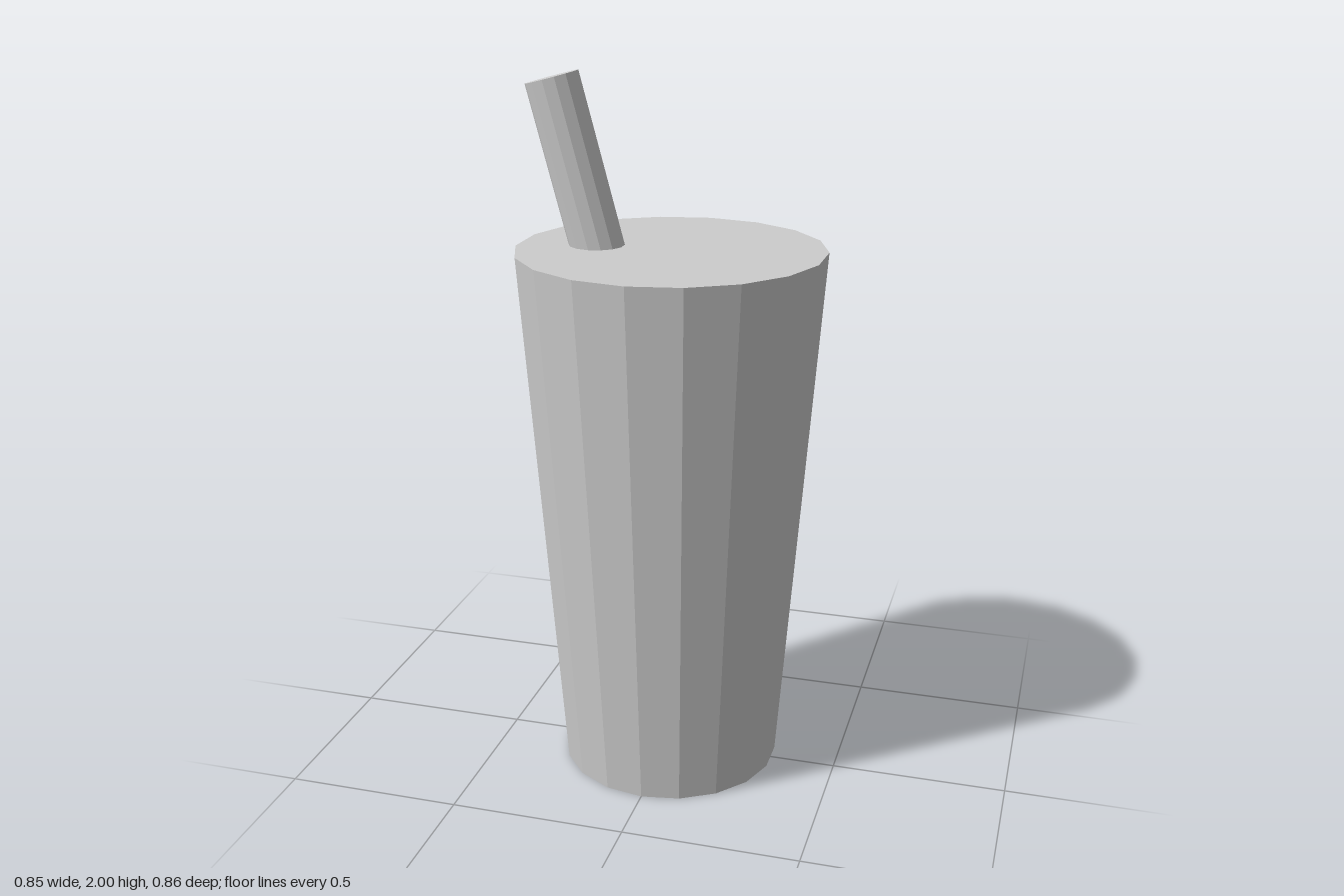
import * as THREE from 'three';

export function createModel() {
  const group = new THREE.Group();
  group.name = 'drinkCup';
  const grey = new THREE.MeshStandardMaterial({ color: 0xcccccc, flatShading: true });
  grey.name = 'plainGrey';

  // Tapered cup with a flat closed top
  const height = 1.53;
  const cup = new THREE.Mesh(new THREE.CylinderGeometry(0.43, 0.314, height, 18), grey);
  cup.name = 'cup';
  cup.position.y = height / 2;
  group.add(cup);

  // Straw leaning to the model's right, its lower end sunk into the lid
  const length = 0.5;
  const straw = new THREE.Mesh(
    new THREE.CylinderGeometry(0.0755, 0.0755, length, 14).translate(0, -length / 2, 0), grey);
  straw.name = 'straw';
  straw.position.set(-0.334, 1.981, 0);
  straw.rotation.z = THREE.MathUtils.degToRad(15);
  group.add(straw);

  return group;
}
